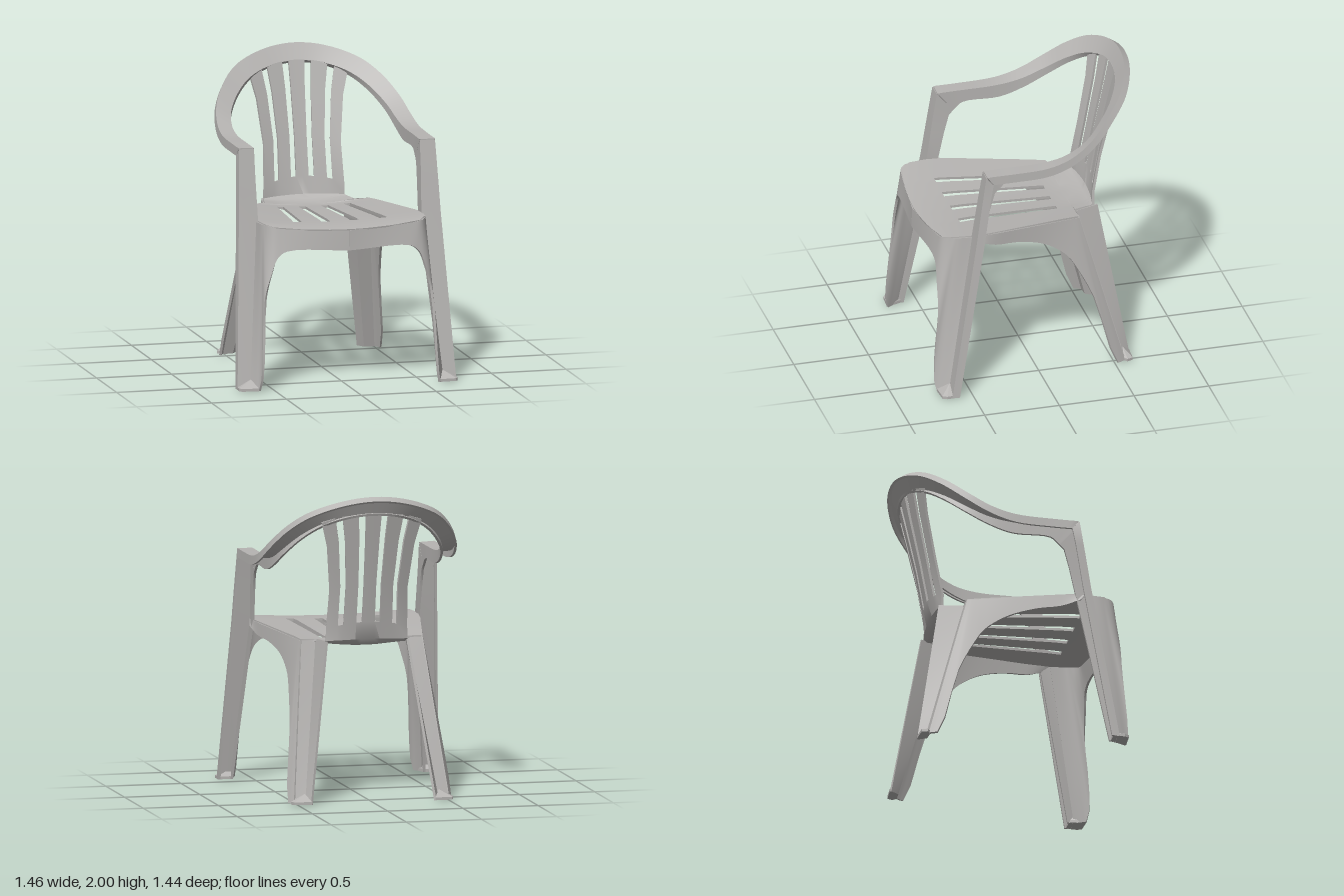
import * as THREE from 'three';
import { toCreasedNormals } from 'three/addons/utils/BufferGeometryUtils.js';
import { ConvexGeometry } from 'three/addons/geometries/ConvexGeometry.js';

const V = (x, y, z) => new THREE.Vector3(x, y, z);
const flip = (p) => V(-p.x, p.y, p.z);
const lerp = THREE.MathUtils.lerp;
const THICK = 0.016;

// Thick moulded sheet over a grid of points; cells where hole(i, j) is true stay open
function shell(grid, hole = () => false) {
  const rows = grid.length, cols = grid[0].length;
  const id = (i, j) => i * cols + j;
  const index = [];
  for (let i = 0; i < rows - 1; i++) for (let j = 0; j < cols - 1; j++) {
    index.push(id(i, j), id(i + 1, j), id(i + 1, j + 1), id(i, j), id(i + 1, j + 1), id(i, j + 1));
  }
  const base = new THREE.BufferGeometry().setFromPoints(grid.flat());
  base.setIndex(index);
  base.computeVertexNormals();
  const normals = base.attributes.normal;
  const offset = (s) => grid.flat().map((p, k) =>
    p.clone().addScaledVector(new THREE.Vector3().fromBufferAttribute(normals, k), s * THICK / 2));
  const a = offset(1), b = offset(-1), out = [];
  const quad = (p, q, r, s) => out.push(p, q, r, p, r, s);
  const filled = (i, j) => i >= 0 && j >= 0 && i < rows - 1 && j < cols - 1 && !hole(i, j);
  for (let i = 0; i < rows - 1; i++) for (let j = 0; j < cols - 1; j++) {
    if (!filled(i, j)) continue;
    const c = [id(i, j), id(i + 1, j), id(i + 1, j + 1), id(i, j + 1)];
    quad(...c.map((k) => a[k]));
    quad(...c.map((k) => b[k]).reverse());
    // rim walls along every open edge
    [[i, j - 1], [i + 1, j], [i, j + 1], [i - 1, j]].forEach(([ni, nj], e) => {
      const p = c[e], q = c[(e + 1) % 4];
      if (!filled(ni, nj)) quad(a[q], a[p], b[p], b[q]);
    });
  }
  return toCreasedNormals(new THREE.BufferGeometry().setFromPoints(out), 0.6);
}

// Smooths a list of sections, each an array of matching points
function smooth(sections, n) {
  const curves = sections[0].map((_, k) => new THREE.CatmullRomCurve3(sections.map((s) => s[k])));
  const count = (sections.length - 1) * n;
  return Array.from({ length: count + 1 }, (_, i) => curves.map((c) => {
    const p = c.getPoint(i / count);
    p.y = Math.max(0, p.y);
    return p;
  }));
}

// Splits top-to-bottom pairs into several steps
const drop = (pairs) => pairs.map(([t, b]) => Array.from({ length: 9 }, (_, k) => t.clone().lerp(b, k / 8)));

const pair = ([a, b, c, d, e, f]) => [V(a, b, c), V(d, e, f)];

// Channel section: outer lip, outer edge, inner edge, inner lip (lips are y, z offsets)
function section(edges, [a, b, c, d]) {
  const [outer, inner] = pair(edges);
  return [outer.clone().add(V(0, a, b)), outer, inner, inner.clone().add(V(0, c, d))];
}

export function createModel() {
  const model = new THREE.Group();
  const plastic = new THREE.MeshStandardMaterial({ color: 0xb6b4b2, side: THREE.DoubleSide });
  plastic.name = 'greyPlastic';
  const add = (name, geometry) => {
    const mesh = new THREE.Mesh(geometry, plastic);
    mesh.name = name;
    model.add(mesh);
  };
  const addPair = (name, grid) => {
    add(name + 'Left', shell(grid));
    add(name + 'Right', shell(grid.map((r) => r.map(flip))));
  };

  // Seat and back: z, y, half width, outer slot edge, forward bow of the sides
  const seatRows = [
    [0.70, 1.025, 0.49, 0.32, -0.06],
    [0.62, 1.037, 0.535, 0.32, -0.04],
    [0.475, 1.037, 0.546, 0.315, 0],
    [0.39, 1.036, 0.55, 0.305, 0],
    [-0.195, 1.006, 0.422, 0.245, 0],
    [-0.295, 0.998, 0.40, 0.23, 0],
    [-0.30, 0.998, 0.30, 0.225, 0],
    [-0.37, 1.0, 0.285, 0.215, 0],
    [-0.425, 1.015, 0.275, 0.205, 0.012],
    [-0.455, 1.045, 0.27, 0.2, 0.025],
    [-0.478, 1.16, 0.268, 0.195, 0.05],
    [-0.526, 1.42, 0.258, 0.19, 0.05],
    [-0.592, 1.72, 0.289, 0.215, 0.055],
    [-0.63, 1.895, 0.33, 0.245, 0.065],
  ];
  const seatGrid = seatRows.map(([z, y, w, s, bow]) => {
    const side = [w, ...[1, 0.825, 0.4, 0.215].map((k) => k * s)];
    const rise = 0.025 - 1.4 * Math.max(0, bow);
    return [...side.map((x) => -x), 0, ...side.reverse()].map((x) => {
      const t = (x / w) ** 2;
      return V(x, y + rise * t, z + bow * t);
    });
  });
  const slotColumns = [1, 3, 6, 8];
  const slotRow = (i) => i === 2 || i === 3 || i >= 10;
  add('seatAndBack', shell(seatGrid, (i, j) => slotRow(i) && slotColumns.includes(j)));

  // Front apron running round the corner into the inner wing of each front leg
  const apron = [
    [0, 1.025, 0.70, 0, 0.895, 0.705],
    [0.42, 1.045, 0.655, 0.41, 0.902, 0.68],
    [0.49, 1.055, 0.64, 0.47, 0.86, 0.675],
    [0.515, 1.062, 0.615, 0.51, 0.76, 0.68],
    [0.53, 1.063, 0.58, 0.553, 0.6, 0.685],
    [0.54, 1.063, 0.55, 0.60, 0, 0.708],
    [0.55, 1.063, 0.455, 0.64, 0, 0.635],
  ].map(pair);
  addPair('apronAndFrontLegWing', drop(smooth(apron, 5)));

  // Side skirt sweeping down into the outer wing of each rear leg: rim z, then lower point
  const skirt = [
    [0.45, 0.56, 1.02, 0.42],
    [0.30, 0.535, 0.978, 0.30],
    [0.15, 0.503, 0.96, 0.15],
    [0, 0.475, 0.92, 0],
    [-0.10, 0.463, 0.87, -0.10],
    [-0.20, 0.46, 0.79, -0.20],
    [-0.24, 0.467, 0.70, -0.26],
    [-0.265, 0.487, 0.48, -0.37],
    [-0.28, 0.535, 0, -0.52],
    [-0.295, 0.51, 0, -0.57],
  ].map(([z, ...low]) => {
    const back = Math.max(0, 0.39 - z);
    return [V(0.55 - 0.219 * back, 1.062 - 0.06 * back, z), V(...low)];
  });
  addPair('sideSkirtAndRearLegWing', drop(smooth(skirt, 3)));

  // Stepped back faces of the rear legs
  addPair('rearLeg', drop([
    [0.40, 1.021, -0.295, 0.51, 0, -0.57],
    [0.30, 1.018, -0.295, 0.44, 0, -0.575],
    [0.268, 1.03, -0.455, 0.41, 0, -0.625],
  ].map(pair)));

  // Arms and top rail in one sweep: outer edge, inner edge, with lips deepening toward the arms
  const corner = section([0.652, 1.53, 0.385, 0.56, 1.53, 0.385], [-0.05, -0.04, -0.13, -0.105]);
  const half = [
    [0, 1.994, -0.682, 0, 1.89, -0.63],
    [0.2, 1.97, -0.66, 0.17, 1.872, -0.61],
    [0.41, 1.893, -0.578, 0.33, 1.815, -0.54],
    [0.53, 1.795, -0.465, 0.44, 1.735, -0.445],
    [0.61, 1.68, -0.335, 0.522, 1.635, -0.32],
    [0.643, 1.588, -0.19, 0.552, 1.565, -0.18],
    [0.652, 1.54, -0.03, 0.56, 1.535, -0.03],
    [0.652, 1.53, 0.22, 0.56, 1.53, 0.22],
  ].map((edges, i) => {
    const f = Math.min(1, i / 6) ** 2;
    return section(edges, [lerp(-0.025, -0.05, f), lerp(-0.028, 0, f), lerp(-0.01, -0.08, f), lerp(-0.025, 0, f)]);
  });
  half.push(corner);
  const otherHalf = half.slice(1).reverse().map((s) => s.map(flip));
  add('armsAndTopRail', shell(smooth([...otherHalf, ...half], 5)));

  // Front leg posts hanging from the arm ends: outer x, inner x, y, z, inner lip depth
  const post = [
    [0.658, 0.558, 1.37, 0.41, 0.10],
    [0.664, 0.555, 1.25, 0.428, 0.085],
    [0.672, 0.55, 1.065, 0.455, 0.07],
    [0.724, 0.64, 0, 0.635, 0.045],
  ].map(([ox, ix, y, z, lip]) => section([ox, y, z, ix, y, z], [0, -0.045, 0, -lip]));
  addPair('frontLegPost', [corner, ...post]);

  // Feet: a low pad rising to a point in the corner of each leg
  const foot = (name, ring, peak) => {
    const points = [...ring.flatMap(([x, z]) => [V(x, 0, z), V(x, 0.018, z)]), peak];
    add(name + 'Left', new ConvexGeometry(points));
    add(name + 'Right', new ConvexGeometry(points.map(flip)));
  };
  foot('frontFoot', [[0.728, 0.60], [0.73, 0.675], [0.715, 0.703], [0.60, 0.71], [0.635, 0.60]], V(0.64, 0.065, 0.635));
  foot('rearFoot', [[0.515, -0.565], [0.538, -0.585], [0.525, -0.622], [0.41, -0.63], [0.44, -0.57]], V(0.445, 0.065, -0.575));
  return model;
}
